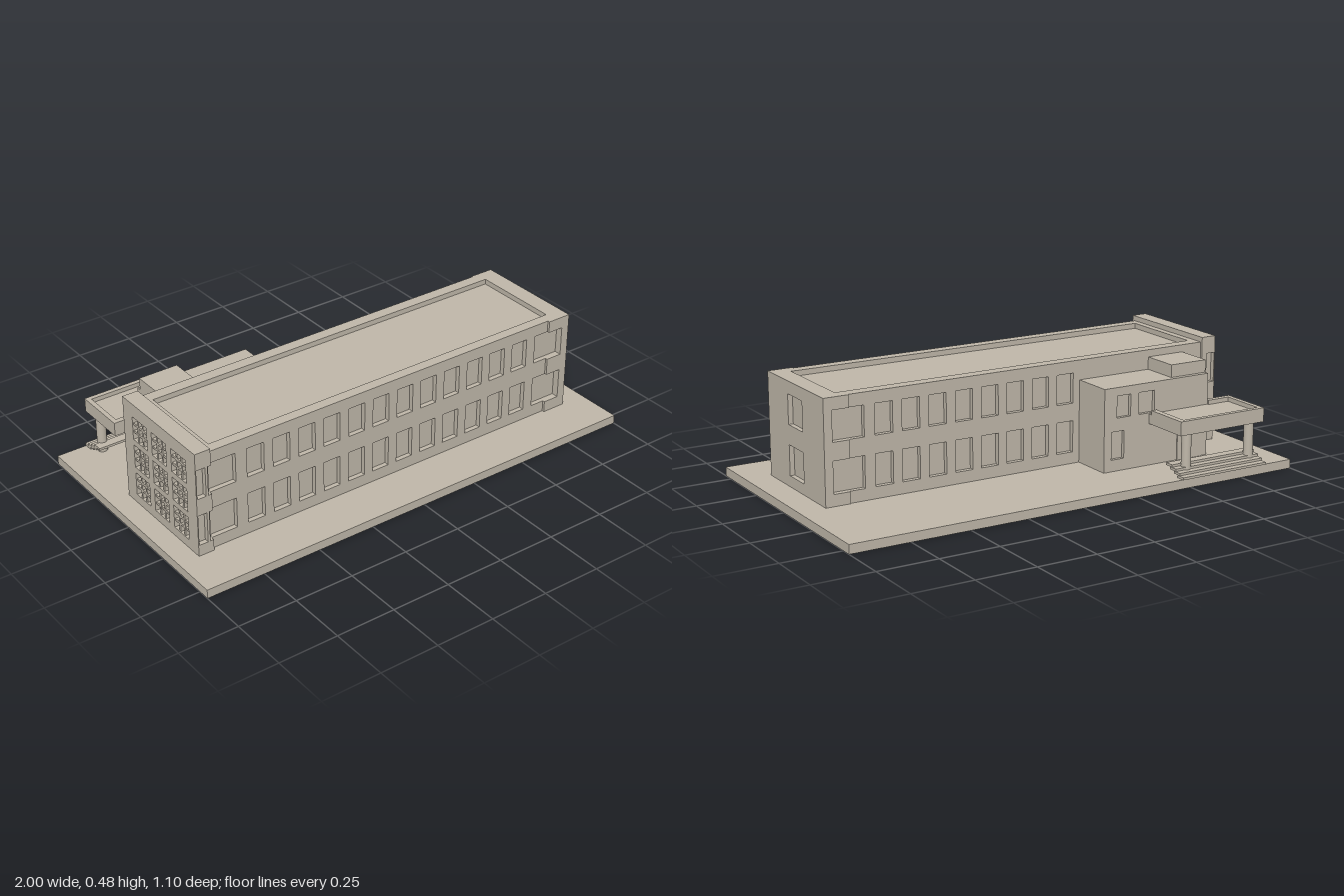
import * as THREE from 'three';
import { mergeGeometries } from 'three/addons/utils/BufferGeometryUtils.js';

const stone = new THREE.MeshStandardMaterial({ color: 0xbfb7a9 });
stone.name = 'warm stone';

const GROUND = 0.037, EAVE = 0.44, ROOF = 0.462, TALL = 0.483;
const ROWS = [[0.085, 0.215], [0.288, 0.412]];

// Box geometry from its minimum and maximum corners
function boxGeo(x0, x1, y0, y1, z0, z1) {
  return new THREE.BoxGeometry(x1 - x0, y1 - y0, z1 - z0)
    .translate((x0 + x1) / 2, (y0 + y1) / 2, (z0 + z1) / 2);
}

function add(parent, name, geo) {
  const mesh = new THREE.Mesh(geo, stone);
  mesh.name = name;
  parent.add(mesh);
  return mesh;
}

const box = (parent, name, ...b) => add(parent, name, boxGeo(...b));

// Wall facing local +z with a grid of openings; the angle turns it to its side.
// Openings may touch the wall ends, so it is made of piers and spandrels.
function wall(parent, name, u0, u1, y0, y1, cols, rows, outer, angle = 0, depth = 0.02) {
  const parts = [];
  const piece = (a, b, c, d) => {
    if (b - a > 1e-4 && d - c > 1e-4) parts.push(boxGeo(a, b, c, d, outer - depth, outer));
  };
  let u = u0;
  for (const [a, b] of cols) {
    piece(u, a, y0, y1);
    let y = y0;
    for (const [c, d] of rows) {
      piece(a, b, y, c);
      y = d;
    }
    piece(a, b, y, y1);
    u = b;
  }
  piece(u, u1, y0, y1);
  add(parent, name, mergeGeometries(parts)).rotation.y = angle;
}

// Horizontal slab from an outline in x and z, with an optional rectangular hole
function slab(parent, name, outline, hole, y0, y1) {
  const points = (list) => list.map(([x, z]) => new THREE.Vector2(x, -z));
  const shape = new THREE.Shape(points(outline));
  if (hole) {
    const [x0, x1, z0, z1] = hole;
    shape.holes.push(new THREE.Path(points([[x0, z0], [x0, z1], [x1, z1], [x1, z0]])));
  }
  const geo = new THREE.ExtrudeGeometry(shape, { depth: y1 - y0, bevelEnabled: false });
  add(parent, name, geo.rotateX(-Math.PI / 2).translate(0, y0, 0));
}

const mirrored = (cols) => cols.map(([a, b]) => [-b, -a]).reverse();

function buildMainBlock() {
  const g = new THREE.Group();
  g.name = 'mainBlock';
  box(g, 'mainCore', -0.845, 0.87, GROUND, EAVE, -0.11, 0.325);

  // Twelve narrow windows between two wide ones
  const narrow = [];
  for (let i = 0; i < 12; i++) {
    const x = -0.642 + i * 0.1163;
    narrow.push([x - 0.038, x + 0.038]);
  }
  const front = [[-0.845, -0.73], ...narrow, [0.72, 0.785]];
  const back = [...narrow.filter(([a]) => a > -0.245), [0.72, 0.785]];
  wall(g, 'frontWall', -0.845, 0.785, GROUND, EAVE, front, ROWS, 0.345);
  wall(g, 'backWall', -0.785, 0.845, GROUND, EAVE, mirrored(back), ROWS, 0.13, Math.PI);

  // Slightly projecting end bay on the left
  const bay = [[0.785, 0.855]];
  wall(g, 'endBayFront', 0.785, 0.89, GROUND, EAVE, bay, ROWS, 0.355, 0, 0.03);
  wall(g, 'endBayBack', -0.89, -0.785, GROUND, EAVE, mirrored(bay), ROWS, 0.135, Math.PI, 0.025);
  wall(g, 'endWall', -0.335, 0.115, GROUND, EAVE, [[-0.175, -0.05]],
    [[0.082, 0.207], [0.288, 0.41]], 0.89, Math.PI / 2);

  // Parapet follows the outline around the sunken roof
  slab(g, 'roofParapet', [[-0.845, 0.345], [0.785, 0.345], [0.785, 0.355], [0.89, 0.355],
    [0.89, -0.135], [0.785, -0.135], [0.785, -0.13], [-0.845, -0.13]],
  [-0.815, 0.815, -0.08, 0.3], EAVE, ROOF);
  return g;
}

function buildTallEnd() {
  const g = new THREE.Group();
  g.name = 'tallEndBlock';
  box(g, 'tallEndCore', -0.892, -0.845, GROUND, ROOF, -0.12, 0.34);
  box(g, 'tallEndCap', -0.912, -0.845, ROOF, TALL, -0.14, 0.36);
  const slots = [[-0.908, -0.87], [-0.86, -0.845]];
  wall(g, 'tallEndFront', -0.912, -0.845, GROUND, ROOF, slots, ROWS, 0.36);
  wall(g, 'tallEndBack', 0.845, 0.912, GROUND, ROOF, mirrored(slots.slice(0, 1)), ROWS, 0.14, Math.PI);

  // Latticed side: three by three panels with slim glazing bars
  const cols = [-0.025, 0.11, 0.245].map((z) => [z - 0.05, z + 0.05]);
  const rows = [0.125, 0.25, 0.375].map((y) => [y - 0.05, y + 0.05]);
  wall(g, 'latticeWall', -0.12, 0.34, GROUND, ROOF, cols, rows, 0.912, -Math.PI / 2);
  const bars = [];
  for (const [z0, z1] of cols) {
    for (const [y0, y1] of rows) {
      for (const t of [1 / 3, 2 / 3]) {
        const z = z0 + (z1 - z0) * t, y = y0 + (y1 - y0) * t;
        bars.push(boxGeo(-0.908, -0.892, y0, y1, z - 0.005, z + 0.005));
        bars.push(boxGeo(-0.907, -0.892, y - 0.005, y + 0.005, z0, z1));
      }
    }
  }
  add(g, 'latticeBars', mergeGeometries(bars));
  return g;
}

function buildRearWing() {
  const g = new THREE.Group();
  g.name = 'rearWing';
  box(g, 'wingCore', -0.75, -0.245, GROUND, 0.38, -0.295, -0.12);
  box(g, 'roofHouse', -0.75, -0.58, 0.38, 0.432, -0.29, -0.12);

  // Doorway and window below, two windows above
  wall(g, 'wingLowerWall', 0.245, 0.75, GROUND, 0.21, [[0.28, 0.34]], [[0.085, 0.2]], 0.31, Math.PI, 0.015);
  wall(g, 'wingUpperWall', 0.245, 0.75, 0.21, 0.38, [[0.305, 0.37], [0.41, 0.485]],
    [[0.255, 0.345]], 0.31, Math.PI, 0.015);
  box(g, 'entranceDoor', -0.72, -0.6, GROUND, 0.17, -0.314, -0.31);
  return g;
}

function buildPorch() {
  const g = new THREE.Group();
  g.name = 'porch';
  slab(g, 'canopySlab', [[-0.87, -0.295], [-0.75, -0.295], [-0.75, -0.31], [-0.46, -0.31],
    [-0.46, -0.525], [-0.87, -0.525]], null, 0.21, 0.25);
  // Raised rim, with a gap beside the wall at one end
  slab(g, 'canopyRim', [[-0.87, -0.295], [-0.75, -0.295], [-0.75, -0.318], [-0.85, -0.318],
    [-0.85, -0.505], [-0.485, -0.505], [-0.485, -0.325], [-0.46, -0.325],
    [-0.46, -0.525], [-0.87, -0.525]], null, 0.25, 0.268);
  for (const x of [-0.83, -0.52]) {
    add(g, 'porchColumn', new THREE.CylinderGeometry(0.02, 0.02, 0.21 - GROUND, 24)
      .translate(x, (0.21 + GROUND) / 2, -0.481));
  }
  // Thin overlapping treads
  for (let i = 0; i < 4; i++) {
    const y = GROUND + 0.011 * i, z = -0.55 + i * 0.026;
    box(g, 'porchStep', -0.87, -0.46, y, y + 0.01, z, z + 0.04);
  }
  return g;
}

export function createModel() {
  const model = new THREE.Group();
  model.name = 'officeBuilding';
  box(model, 'groundSlab', -1, 1, 0, GROUND, -0.545, 0.55);
  model.add(buildMainBlock(), buildTallEnd(), buildRearWing(), buildPorch());
  return model;
}
